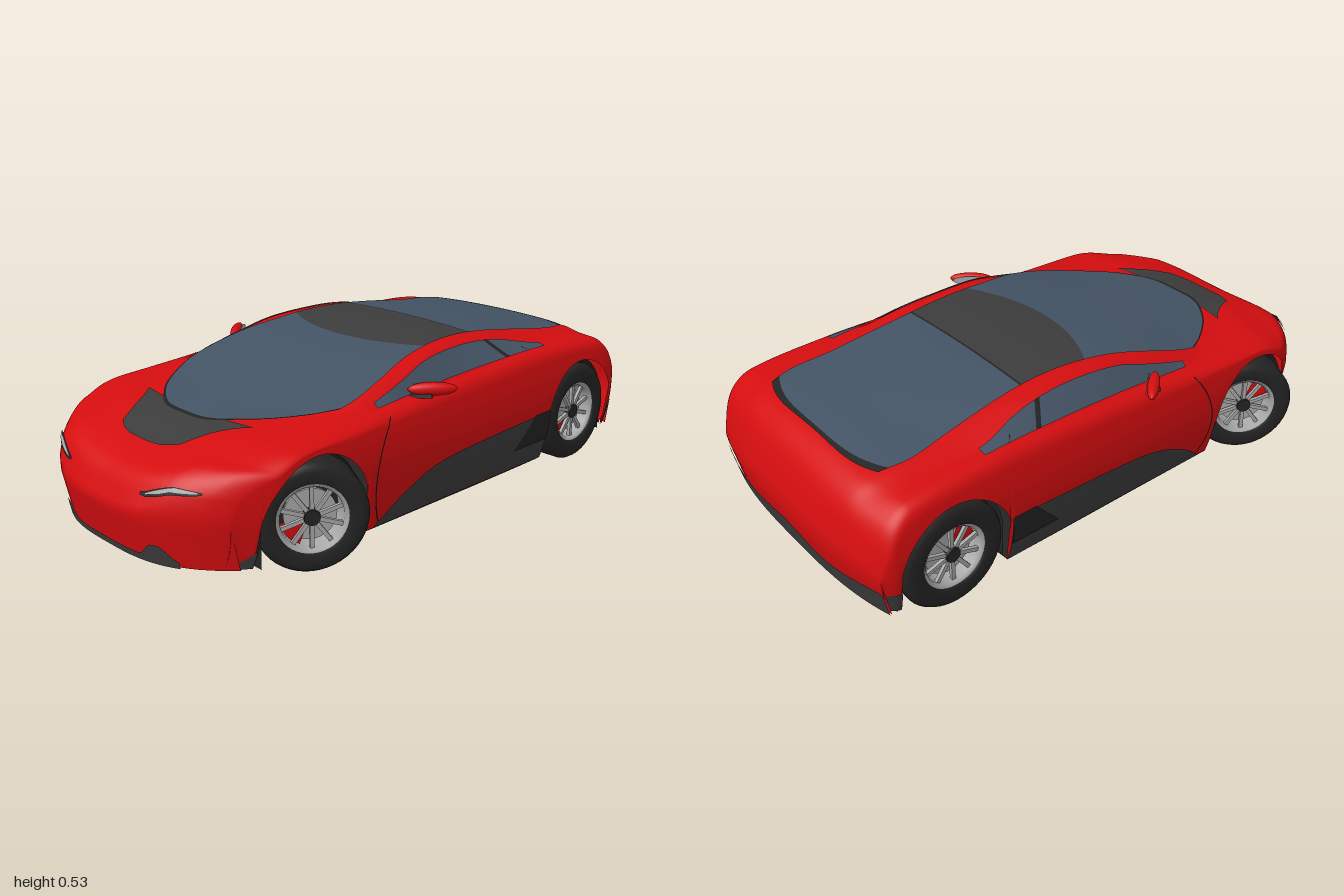
import * as THREE from 'three';

const mat = (name, color) => new THREE.MeshStandardMaterial({ name, color, side: THREE.DoubleSide });
const { lerp, clamp } = THREE.MathUtils;

// smooth curve through [s, value] keys
const curve = (...p) => s => {
  let i = 0;
  while (i < p.length - 2 && s > p[i + 1][0]) i++;
  const slope = k => {
    const a = p[Math.max(k - 1, 0)], b = p[Math.min(k + 1, p.length - 1)];
    return (b[1] - a[1]) / (b[0] - a[0]);
  };
  const [x0, y0] = p[i], [x1, y1] = p[i + 1], h = x1 - x0, t = clamp((s - x0) / h, 0, 1);
  const t2 = t * t, t3 = t2 * t;
  return (2 * t3 - 3 * t2 + 1) * y0 + (t3 - 2 * t2 + t) * h * slope(i) + (3 * t2 - 2 * t3) * y1 + (t3 - t2) * h * slope(i + 1);
};

// body lines along the length: half width, shoulder, belt, window top, roof rail, centre line
const width = curve([-1, .47], [-.95, .492], [-.8, .503], [0, .5], [.5, .5], [.8, .49], [.9, .465], [.99, .42]);
const shoulderY = curve([-1, .22], [-.97, .29], [-.9, .37], [-.7, .405], [-.4, .4], [0, .385], [.3, .378], [.6, .375], [.8, .338], [.9, .315], [.97, .265], [.99, .22]);
const beltX = curve([-1, .43], [-.85, .44], [-.55, .435], [0, .43], [.3, .43], [.66, .42], [.9, .4], [.99, .36]);
const beltY = curve([-1, .24], [-.97, .33], [-.93, .385], [-.85, .425], [-.55, .445], [-.35, .443], [0, .43], [.3, .41], [.5, .397], [.66, .386], [.8, .36], [.9, .34], [.97, .29], [.99, .235]);
const windowX = curve([-1, .33], [-.8, .38], [-.55, .4], [-.4, .37], [-.2, .36], [0, .375], [.15, .4], [.3, .41], [.45, .39], [.66, .33], [.99, .28]);
const windowY = curve([-1, .25], [-.97, .345], [-.93, .395], [-.85, .43], [-.7, .442], [-.55, .453], [-.35, .497], [-.2, .51], [0, .5], [.15, .46], [.3, .422], [.5, .402], [.66, .392], [.8, .365], [.9, .345], [.97, .295], [.99, .24]);
const railX = curve([-1, .28], [-.85, .31], [-.75, .33], [-.6, .315], [-.3, .3], [0, .325], [.2, .37], [.36, .38], [.55, .32], [.66, .25], [.99, .2]);
const railDrop = curve([-1, 0], [-.85, -.01], [-.6, -.02], [-.2, -.006], [.1, -.012], [.36, -.03], [.5, -.02], [.66, 0], [.8, .012], [.99, .015]);
const crownY = curve([-1, .25], [-.97, .35], [-.93, .41], [-.87, .445], [-.7, .475], [-.45, .51], [-.2, .525], [0, .515], [.2, .485], [.5, .42], [.7, .383], [.8, .352], [.9, .32], [.95, .285], [.99, .21]);
const floorY = curve([-1, .08], [-.9, .08], [-.6, .05], [.6, .05], [.8, .06], [.99, .06]);

const ARCHES = [{ z: .565, y: .17, r: .19 }, { z: -.71, y: .18, r: .193 }];

// places a section point, bowing nose and tail in plan and tucking them in below
function place(x, y, s) {
  const front = clamp((s - .55) / .44, 0, 1), rear = clamp((-s - .7) / .3, 0, 1);
  const bow = .27 * front ** 1.6 - .055 * rear ** 2;
  const tuck = (.03 * front ** 4 - .03 * rear ** 4) * clamp((.2 - y) / .14, 0, 1);
  return new THREE.Vector3(x, y, s - bow * (Math.abs(x) / .5) ** 3 - tuck);
}
const sideX = (y, s) => width(s) - .02 * ((y - .25) / .15) ** 2;

// lower edge of the side, lifted over the wheels
function edgeY(s) {
  const z = place(width(s), .2, s).z;
  for (const a of ARCHES) {
    const d = a.r ** 2 - (z - a.z) ** 2;
    if (d > 0) return Math.min(a.y + Math.sqrt(d), shoulderY(s) - .006);
  }
  return floorY(s);
}
const roofPoint = (u, s) => [u * railX(s), crownY(s) + railDrop(s) * u * u];

// half section from lower edge to the centre line
function halfSection(s) {
  const pts = [], y0 = edgeY(s), yc = shoulderY(s), xc = sideX(yc, s);
  const belt = [beltX(s), beltY(s)], win = [windowX(s), windowY(s)], rail = roofPoint(1, s);
  for (let i = 0; i < 10; i++) { const y = lerp(y0, yc, i / 10); pts.push([sideX(y, s), y]); }
  for (let i = 0; i < 6; i++) {
    const t = i / 6, q = 1 - t, c = [xc - .01, belt[1] - .005];
    pts.push([q * q * xc + 2 * q * t * c[0] + t * t * belt[0], q * q * yc + 2 * q * t * c[1] + t * t * belt[1]]);
  }
  for (const [a, b] of [[belt, win], [win, rail]])
    for (let i = 0; i < 3; i++) pts.push([lerp(a[0], b[0], i / 3), lerp(a[1], b[1], i / 3)]);
  for (let i = 0; i <= 10; i++) pts.push(roofPoint(1 - i / 10, s));
  return pts;
}

// smooth surface over a grid of points
function gridGeometry(rows) {
  const n = rows[0].length, index = [];
  for (let j = 0; j < rows.length - 1; j++)
    for (let i = 0; i < n - 1; i++) {
      const a = j * n + i;
      index.push(a, a + 1, a + n, a + 1, a + n + 1, a + n);
    }
  const g = new THREE.BufferGeometry().setFromPoints(rows.flat());
  g.setIndex(index);
  g.computeVertexNormals();
  return g;
}

export function createModel() {
  const model = new THREE.Group();
  model.name = 'car';
  const red = mat('red paint', 0xd40d0f), glass = mat('tinted glass', 0x435364), grey = mat('dark grey trim', 0x3c3c3c);
  const black = mat('black', 0x242424), silver = mat('silver', 0xa8a8a8);
  const add = (name, geo, m, parent = model) => {
    const mesh = new THREE.Mesh(geo, m);
    mesh.name = name;
    parent.add(mesh);
    return mesh;
  };
  const patch = (name, m, na, nb, fn) => {
    const rows = [];
    for (let j = 0; j <= nb; j++) rows.push(Array.from({ length: na + 1 }, (_, i) => fn(i / na, j / nb)));
    return add(name, gridGeometry(rows), m);
  };

  // painted shell, closed by nose and tail walls
  const rows = [], N = 250;
  const stations = [];
  for (let i = 8; i > 0; i--) stations.push([.99, i / 8]);
  for (let i = 0; i <= N; i++) stations.push([lerp(.99, -1, i / N), 0]);
  for (let i = 1; i <= 8; i++) stations.push([-1, i / 8]);
  for (const [s, t] of stations) {
    const half = halfSection(s).map(([x, y]) => [x, lerp(y, floorY(s), t)]);
    const full = [...half, ...half.slice(0, -1).reverse().map(([x, y]) => [-x, y])];
    rows.push(full.map(([x, y]) => place(x, y, s)));
  }
  add('bodyShell', gridGeometry(rows), red);

  // plates on the top of the body
  const lift = (x, y, s, h = .004) => place(x, y, s).add(new THREE.Vector3(0, h, 0));
  const topPlate = (name, m, from, to, span = () => .985, h = .004) => patch(name, m, 30, 44, (a, b) => {
    const v = a * 2 - 1, s = lerp(from(v), to(v), b);
    const u = v * span(s);
    return lift(...roofPoint(u, s), s, h);
  });
  const screenBase = v => .66 - .3 * v ** 4, roofFront = v => .02 - .09 * v * v, rearEnd = v => -.86 + .05 * v ** 4;
  topPlate('cowl', black, v => screenBase(v) + .014, screenBase);
  topPlate('windscreen', glass, screenBase, roofFront);
  topPlate('roofPanel', grey, roofFront, () => -.31);
  topPlate('roofSeam', black, () => -.31, () => -.317);
  topPlate('rearWindow', glass, () => -.317, rearEnd);
  topPlate('rearVent', black, rearEnd, v => rearEnd(v) - .012 - .02 * v * v);
  topPlate('hoodPanel', grey, v => .645 - .03 * v * v, v => .825 - .03 * v ** 4, s => lerp(.95, .62, clamp((s - .63) / .19, 0, 1)), .0035);

  for (const side of [1, -1]) {
    const tag = side > 0 ? 'left' : 'right';
    // side windows with pillar between
    const sideGlass = (name, m, s0, s1) => patch(tag + name, m, 4, 30, (a, b) => {
      const t = lerp(.04, .97, a), s = lerp(s0, s1, b) + (s1 < -.5 && b > .5 ? 0 : .05 * (t - .5) * (s0 < .2 || b > .5 ? 1 : 0));
      return place(side * (lerp(beltX(s), windowX(s), t) + .004), lerp(beltY(s), windowY(s), t) + .003, s);
    });
    sideGlass('DoorWindow', glass, .27, -.325);
    sideGlass('WindowPillar', black, -.325, -.345);
    sideGlass('QuarterWindow', glass, -.345, -.56);

    // lower side trim
    const sidePlate = (name, m, s0, s1, low, high, out = .004) => patch(tag + name, m, 8, 60, (a, b) => {
      const s = lerp(s0, s1, b), y = lerp(low(s), Math.max(high(s), low(s)), a);
      return place(side * (sideX(y, s) + out), y, s);
    });
    const skirtTop = curve([-.52, .235], [-.35, .23], [0, .21], [.12, .185], [.24, .125], [.32, .06]);
    sidePlate('Skirt', grey, .32, -.515, () => .052, skirtTop);
    sidePlate('SideVent', black, -.33, -.515, () => .13, s => Math.min(.13 + (-.33 - s) * 1.1, .24), .007);
    sidePlate('FrontCorner', grey, .86, .99, edgeY, s => lerp(.14, .065, clamp((s - .87) / .12, 0, 1)));
    sidePlate('RearCorner', grey, -.91, -1, edgeY, () => .155);
    patch(tag + 'DoorSeam', black, 1, 30, (a, b) => {
      const y = lerp(.06, .4, b), s = .3 + .2 * b - .24 * b * b + a * .005;
      return place(side * (sideX(Math.min(y, .38), s) + .003 - Math.max(0, y - .38) * .5), y, s);
    });

    // slim headlights
    const topY = (x, s) => {
      const pts = [roofPoint(0, s), roofPoint(1, s), [windowX(s), windowY(s)], [beltX(s), beltY(s)]];
      const i = x < pts[1][0] ? 0 : x < pts[2][0] ? 1 : 2;
      return lerp(pts[i][1], pts[i + 1][1], (x - pts[i][0]) / (pts[i + 1][0] - pts[i][0]));
    };
    const lamp = (name, m, x0, x1, grow, h) => patch(tag + name, m, 20, 6, (a, b) => {
      const x = lerp(x0, x1, a), half = (.0045 + grow) * Math.sin(Math.PI * clamp(a * .8 + .08, 0, 1));
      const s = .968 + (b * 2 - 1) * half;
      return place(side * x, topY(x, s) + h, s).add(new THREE.Vector3(0, 0, h));
    });
    lamp('HeadlightFrame', black, .18, .36, .003, .004);
    lamp('HeadlightLens', silver, .2, .35, 0, .006);

    // door mirror
    const mirror = new THREE.Group();
    mirror.name = tag + 'Mirror';
    mirror.scale.x = side;
    const head = new THREE.Group();
    head.position.set(.478, .444, .075);
    head.rotation.y = .86;
    mirror.add(head);
    add('mirrorHousing', new THREE.SphereGeometry(1, 24, 14), red, head).scale.set(.078, .022, .02);
    const lens = add('mirrorGlass', new THREE.CircleGeometry(1, 24), silver, head);
    lens.scale.set(.066, .018, 1);
    lens.position.z = -.0205;
    const arm = add('mirrorArm', new THREE.BoxGeometry(.08, .014, .03), grey, mirror);
    arm.position.set(.45, .423, .1);
    arm.rotation.set(0, .5, .1);
    model.add(mirror);

    // wheel wells
    for (const a of ARCHES) {
      patch(tag + 'WheelLiner', black, 2, 34, (p, q) => {
        const k = clamp((q - .1) / .8, 0, 1) * Math.PI;
        const y = q < .1 ? lerp(.06, a.y, q * 10) : q > .9 ? lerp(a.y, .06, (q - .9) * 10) : a.y + a.r * Math.sin(k);
        return new THREE.Vector3(side * lerp(.28, .455, p), Math.min(y, .366), a.z - a.r * Math.cos(k));
      });
      const shape = new THREE.Shape().moveTo(a.r, .06).lineTo(a.r, a.y).absarc(0, a.y, a.r, 0, Math.PI).lineTo(-a.r, .06);
      const wall = add(tag + 'WellWall', new THREE.ShapeGeometry(shape, 20), black);
      wall.rotation.y = Math.PI / 2;
      wall.position.set(side * .28, 0, a.z);
    }
  }

  // front intake with two raised corners, and rear diffuser
  patch('frontIntake', grey, 80, 3, (a, b) => {
    const x = lerp(-.29, .29, a), fang = Math.max(0, 1 - Math.abs(Math.abs(x) - .225) / .06);
    const p = place(x, lerp(.058, .08 + Math.min(.042, .06 * fang), b), .99);
    p.z += .006;
    return p;
  });
  patch('rearDiffuser', grey, 50, 6, (a, b) => {
    const x = lerp(-.468, .468, a), p = place(x, lerp(.078, .155 + .012 * Math.cos(x * 14), b), -1);
    p.z -= .006;
    return p;
  });

  // flat floor, narrowed between the wheels
  patch('floor', black, 10, 200, (a, b) => {
    const s = lerp(.99, -1, b), h = edgeY(s) > .1 ? .28 : width(s) - .034;
    return place((a * 2 - 1) * h, floorY(s) + .001, s);
  });

  // wheels, with the front pair steered
  const v2 = pts => pts.map(p => new THREE.Vector2(...p));
  function wheel(name, x, z, r, steer) {
    const pivot = new THREE.Group(), w = new THREE.Group();
    pivot.name = name;
    pivot.position.set(x, r, z);
    pivot.rotation.y = steer;
    w.rotation.z = -Math.sign(x) * Math.PI / 2;
    pivot.add(w);
    model.add(pivot);
    add('tire', new THREE.LatheGeometry(v2([[.1, -.05], [.115, -.06], [r - .025, -.06], [r - .008, -.053], [r, -.04], [r, .04], [r - .008, .053], [r - .025, .06], [.115, .06], [.104, .05], [.1, .02]]), 48), black, w);
    add('rimBarrel', new THREE.LatheGeometry(v2([[.096, -.05], [.096, .045], [.104, .053], [.108, .054]]), 40), silver, w);
    add('innerDisc', new THREE.CylinderGeometry(.1, .1, .01, 36), black, w).position.y = -.045;
    add('brakeDisc', new THREE.CylinderGeometry(.08, .08, .01, 36), silver, w).position.y = .012;
    const caliper = add('caliper', new THREE.CylinderGeometry(.093, .093, .02, 12, 1, false, .3, .9), red, w);
    caliper.position.y = .014;
    for (let i = 0; i < 10; i++) {
      const a = i * Math.PI / 5, spoke = add('spoke', new THREE.BoxGeometry(.078, .012, .013), silver, w);
      spoke.position.set(.06 * Math.cos(a), .036, -.06 * Math.sin(a));
      spoke.rotation.y = a;
    }
    add('hub', new THREE.CylinderGeometry(.024, .028, .02, 20), black, w).position.y = .038;
    add('axle', new THREE.CylinderGeometry(.03, .03, .14, 16), black, w).position.y = -.11;
  }
  for (const side of [1, -1]) {
    const tag = side > 0 ? 'left' : 'right';
    wheel(tag + 'FrontWheel', side * .44, .56, .172, -.53);
    wheel(tag + 'RearWheel', side * .425, -.71, .178, 0);
  }
  return model;
}
